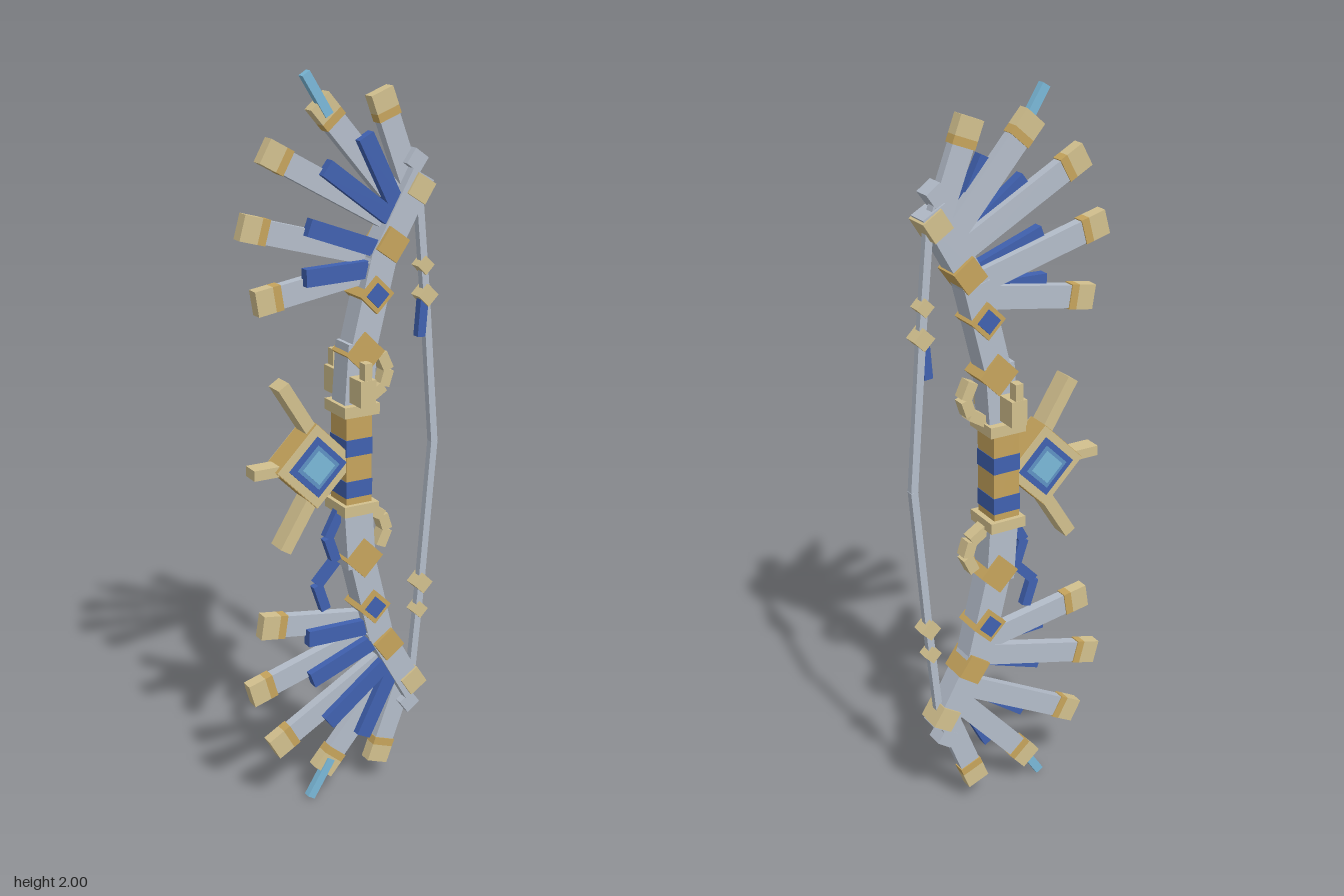
import * as THREE from 'three';

const flat = (name, color) => {
  const m = new THREE.MeshStandardMaterial({ color });
  m.name = name;
  return m;
};

export function createModel() {
  const silver = flat('silver', 0xb4bdca);
  const paleGold = flat('pale gold', 0xd2c08e);
  const gold = flat('gold', 0xc6a45c);
  const blue = flat('blue', 0x4061b0);
  const skyBlue = flat('sky blue', 0x5f93c4);
  const cyan = flat('cyan', 0x7ab8d8);

  const root = new THREE.Group();
  root.name = 'bow';

  // Box centred at a point and turned about z
  function block(parent, name, mat, [x, y, z], [w, h, d], turn = 0) {
    const mesh = new THREE.Mesh(new THREE.BoxGeometry(w, h, d), mat);
    mesh.name = name;
    mesh.position.set(x, y, z);
    mesh.rotation.z = turn;
    parent.add(mesh);
    return mesh;
  }

  // Box running from point a to point b in the xy plane
  function bar(parent, name, mat, a, b, w, d, z = 0) {
    const dx = b[0] - a[0], dy = b[1] - a[1];
    return block(parent, name, mat, [(a[0] + b[0]) / 2, (a[1] + b[1]) / 2, z],
      [Math.hypot(dx, dy), w, d], Math.atan2(dy, dx));
  }

  // Chain of bars through several points
  function chain(parent, name, mat, pts, w, d, z = 0) {
    for (let i = 1; i < pts.length; i++) bar(parent, name, mat, pts[i - 1], pts[i], w, d, z);
  }

  const mix = (a, b, t) => [a[0] + (b[0] - a[0]) * t, a[1] + (b[1] - a[1]) * t];
  const Q = Math.PI / 4;

  // Grip with wrapped bands
  const grip = new THREE.Group();
  grip.name = 'grip';
  root.add(grip);
  block(grip, 'gripCore', gold, [0.022, 1, 0], [0.076, 0.3, 0.084]);
  for (const y of [1.035, 0.92])
    block(grip, 'gripBand', blue, [0.022, y, 0], [0.079, 0.046, 0.087]);

  // Gem mount on the outer side of the grip: stacked diamonds and rays
  const gem = new THREE.Group();
  gem.name = 'gemMount';
  root.add(gem);
  [[0.165, 0.07, gold], [0.162, 0.078, paleGold], [0.118, 0.088, blue],
    [0.086, 0.093, skyBlue], [0.066, 0.097, cyan]].forEach(([size, depth, mat]) =>
    block(gem, 'gemLayer', mat, [-0.1, 1, 0], [size, size, depth], Q));
  bar(gem, 'gemRay', paleGold, [-0.275, 1], [-0.19, 1], 0.028, 0.05);
  for (const s of [1, -1])
    bar(gem, 'gemRay', paleGold, [-0.19, 1 + s * 0.225], [-0.1, 1 + s * 0.08], 0.034, 0.056);

  // Sight tabs on the front and the back
  for (const s of [1, -1]) {
    block(root, 'tabArm', paleGold, [0.017, 1.195, s * 0.068], [0.045, 0.07, 0.06]);
    block(root, 'tabTip', paleGold, [0.017, 1.25, s * 0.083], [0.022, 0.05, 0.028]);
  }

  // Feather tips and roots, as x and height above the middle
  const feathers = [
    [[-0.25, 0.44], [0.065, 0.49]],
    [[-0.285, 0.635], [0.11, 0.525]],
    [[-0.22, 0.815], [0.14, 0.615]],
    [[-0.07, 0.925], [0.16, 0.66]],
    [[0.105, 0.94], [0.2, 0.69]],
  ];
  const vanes = [
    [[-0.12, 0.495], [0.07, 0.5]],
    [[-0.11, 0.622], [0.09, 0.548]],
    [[-0.06, 0.765], [0.14, 0.615]],
    [[0.05, 0.835], [0.15, 0.64]],
  ];

  // The two limbs mirror each other about the grip
  for (const s of [1, -1]) {
    const limb = new THREE.Group();
    limb.name = s > 0 ? 'upperLimb' : 'lowerLimb';
    root.add(limb);
    const P = ([x, h]) => [x, 1 + s * h];
    const at = (x, h, z = 0) => [x, 1 + s * h, z];

    // Collar and curved limb
    block(limb, 'collar', paleGold, at(0.024, 0.137), [0.104, 0.03, 0.11]);
    chain(limb, 'limbSegment', silver,
      [[0.025, 0.14], [0.037, 0.31]].map(P), 0.085, 0.07);
    chain(limb, 'limbSegment', silver,
      [[0.035, 0.27], [0.1, 0.53]].map(P), 0.075, 0.066);
    chain(limb, 'limbSegment', silver,
      [[0.085, 0.5], [0.215, 0.73]].map(P), 0.07, 0.062);

    // Joint ornaments
    block(limb, 'innerJoint', gold, at(0.042, 0.285), [0.08, 0.08, 0.082], s * Q);
    block(limb, 'studFrame', gold, at(0.074, 0.435), [0.07, 0.07, 0.086], s * Q);
    block(limb, 'stud', blue, at(0.074, 0.435), [0.046, 0.046, 0.095], s * Q);
    block(limb, 'middleJoint', gold, at(0.122, 0.56), [0.068, 0.068, 0.084], s * 0.95);
    block(limb, 'outerJoint', paleGold, at(0.207, 0.695), [0.06, 0.06, 0.075], s * 1.0);
    block(limb, 'limbEnd', silver, at(0.2, 0.765), [0.046, 0.046, 0.05], s * 0.95);

    // Feathers with golden tips
    feathers.forEach(([tip, base], i) => {
      const a = P(tip), b = P(base);
      const len = Math.hypot(b[0] - a[0], b[1] - a[1]);
      const m1 = mix(a, b, 0.05 / len), m2 = mix(a, b, 0.072 / len);
      const z = -0.01 - 0.001 * (i % 2);
      bar(limb, 'featherTip', paleGold, a, m1, 0.066, 0.034, z);
      bar(limb, 'featherTipBand', gold, m1, m2, 0.066, 0.034, z);
      bar(limb, 'feather', silver, m2, b, 0.06, 0.028, z);
    });
    vanes.forEach(([a, b]) => bar(limb, 'featherVane', blue, P(a), P(b), 0.045, 0.028, 0.011));
    bar(limb, 'featherPoint', cyan, P([-0.11, 0.993]), P([-0.045, 0.89]), 0.024, 0.02, 0);

    // Hooked claw beside the grip
    chain(limb, 'claw', paleGold,
      [[0.06, 0.15], [0.112, 0.182], [0.126, 0.225], [0.105, 0.27]].map(P), 0.03, 0.036);

    // Half of the string and its beads
    chain(limb, 'string', silver,
      [[0.215, 0.7], [0.243, 0.41], [0.276, 0]].map(P), 0.02, 0.02);
    block(limb, 'stringBead', paleGold, at(0.236, 0.49), [0.035, 0.035, 0.035], Q);
    block(limb, 'stringBead', paleGold, at(0.243, 0.41), [0.042, 0.042, 0.042], Q);
  }

  // Blue tassel on the string and ribbon below the grip
  bar(root, 'tassel', blue, [0.234, 1.4], [0.226, 1.3], 0.024, 0.022, 0.004);
  chain(root, 'ribbon', blue,
    [[-0.01, 0.86], [-0.052, 0.78], [-0.028, 0.71], [-0.085, 0.65], [-0.06, 0.575]], 0.028, 0.022);

  return root;
}
